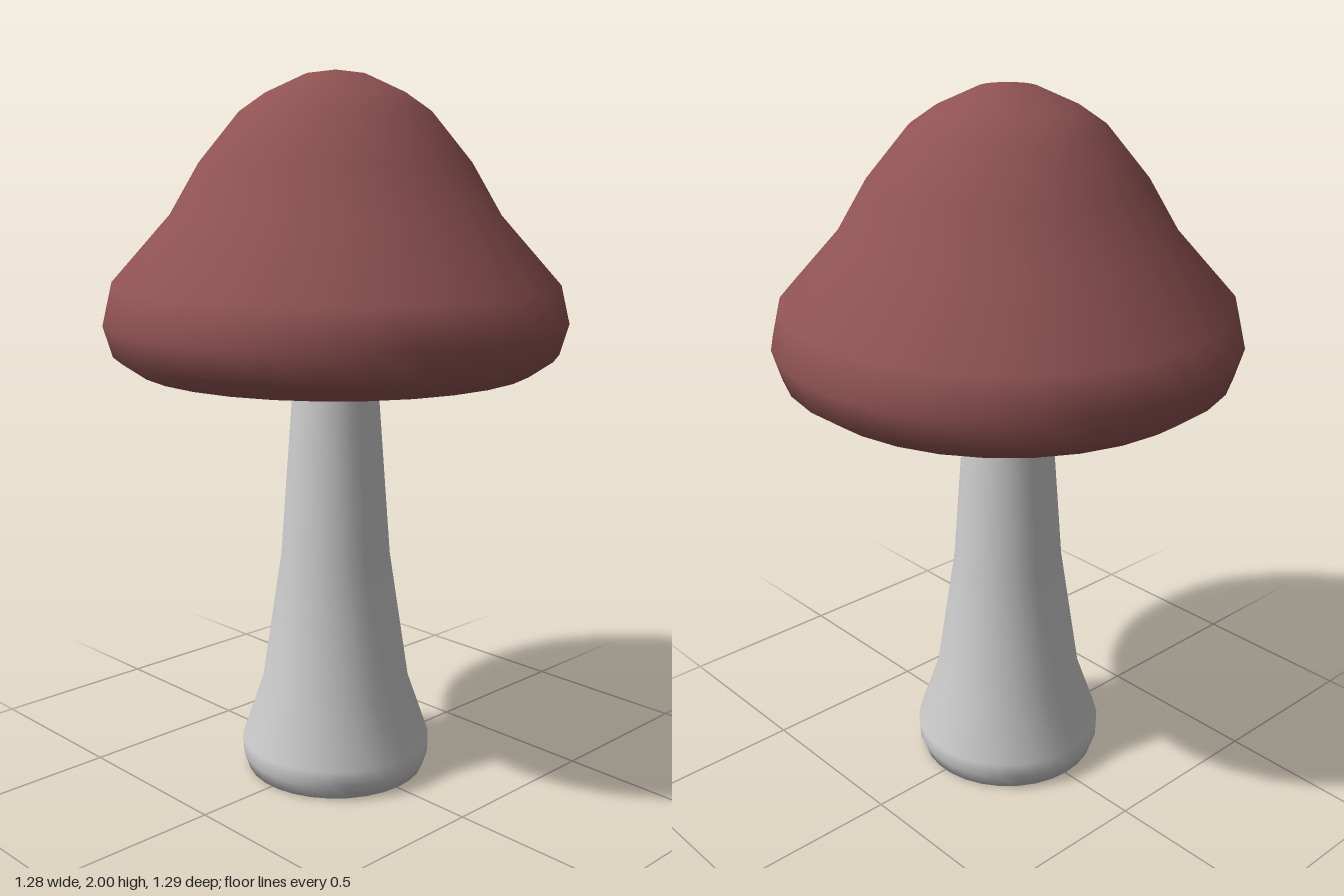
import * as THREE from 'three';

const SIDES = 30;

// Smooth turned part from [radius, height] pairs listed bottom to top
function turned(name, profile, color) {
  const points = profile.map(([r, y]) => new THREE.Vector2(r, y));
  const material = new THREE.MeshStandardMaterial({ color, side: THREE.DoubleSide });
  const mesh = new THREE.Mesh(new THREE.LatheGeometry(points, SIDES), material);
  mesh.name = name;
  return mesh;
}

export function createModel() {
  const group = new THREE.Group();
  group.name = 'mushroom';

  // Bell-shaped cap with a rolled rim
  group.add(turned('cap', [
    [0.555, 1.195], [0.62, 1.24], [0.645, 1.325], [0.62, 1.43],
    [0.455, 1.615], [0.373, 1.755], [0.262, 1.89], [0.19, 1.94],
    [0.08, 1.99], [0, 2],
  ], 0x8f5252));

  // Shallow cone closing the cap underneath
  group.add(turned('gills', [[0.12, 1.15], [0.555, 1.195]], 0xcccccc));

  // Flared stem, hollow at the foot
  group.add(turned('stem', [
    [0.18, 0], [0.258, 0.003], [0.273, 0.045], [0.275, 0.09],
    [0.213, 0.27], [0.157, 0.645], [0.12, 1.15],
  ], 0xcccccc));

  return group;
}
